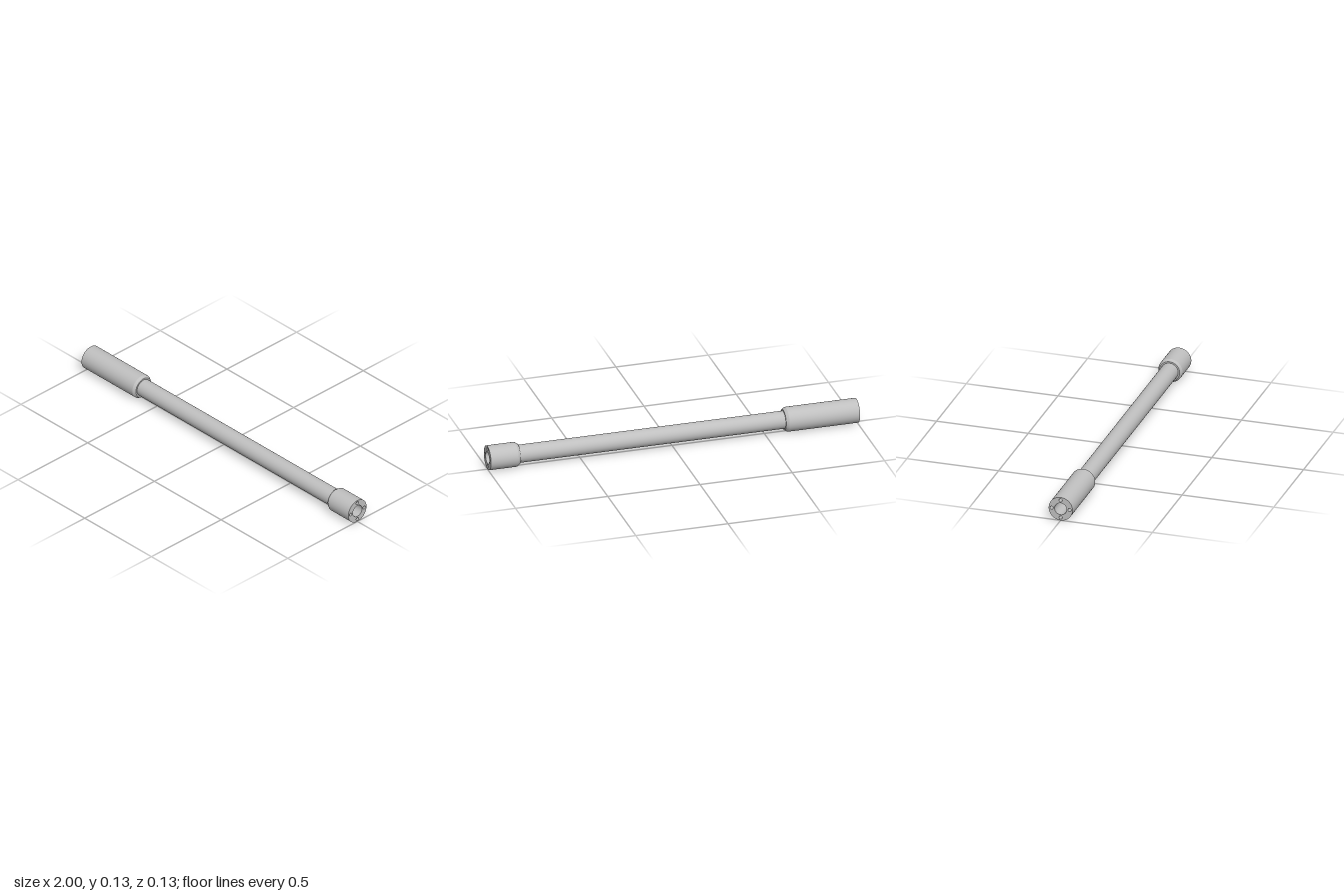
import * as THREE from 'three';

const CENTRE_Y = 0.065, OUTER = 0.065, SHAFT = 0.047, BORE = 0.033;
const HOLE = 0.009, HOLE_RING = 0.049, HOLE_DEPTH = 0.05;

export function createModel() {
  const model = new THREE.Group();
  model.name = 'hollowShaft';
  const steel = new THREE.MeshStandardMaterial({ color: 0xbfbfbf });
  steel.name = 'steel grey';

  const add = (name, geometry, parent = model) => {
    const mesh = new THREE.Mesh(geometry, steel);
    mesh.name = name;
    parent.add(mesh);
  };

  // Surfaces turned about the x axis; each profile segment keeps its edges sharp.
  // Points are [x, radius]; rising x faces outward, falling x faces the axis.
  const turn = (name, points, parent = model, sides = 64) => {
    for (let i = 0; i + 1 < points.length; i++) {
      const pair = [points[i], points[i + 1]].map(([x, r]) => new THREE.Vector2(r, x));
      add(name, new THREE.LatheGeometry(pair, sides).rotateZ(-Math.PI / 2), parent);
    }
  };

  turn('longCollar', [[-1, OUTER], [-0.618, OUTER], [-0.603, 0.055], [-0.603, SHAFT]]);
  turn('shaftTube', [[-0.603, SHAFT], [0.835, SHAFT]]);
  turn('shortCollar', [[0.835, SHAFT], [0.835, 0.055], [0.85, OUTER], [1, OUTER]]);
  turn('bore', [[1, BORE], [-1, BORE]]);

  // Annular end face with four blind drilled holes
  const angles = [0, 1, 2, 3].map((i) => (i * Math.PI) / 2);
  const face = new THREE.Shape().absarc(0, 0, OUTER, 0, Math.PI * 2);
  const cut = (x, y, r) => face.holes.push(new THREE.Path().absarc(x, y, r, 0, Math.PI * 2, true));
  cut(0, 0, BORE);
  angles.forEach((a) => cut(HOLE_RING * Math.cos(a), HOLE_RING * Math.sin(a), HOLE));

  for (const side of [1, -1]) {
    const end = new THREE.Group();
    end.name = side > 0 ? 'shortCollarEnd' : 'longCollarEnd';
    add('endFace', new THREE.ShapeGeometry(face, 32).rotateY(Math.PI / 2), end);
    for (const a of angles) {
      const hole = new THREE.Group();
      hole.name = 'drilledHole';
      // straight wall, then conical drill tip
      turn('holeWall', [[0, HOLE], [-HOLE_DEPTH, HOLE], [-HOLE_DEPTH - 0.005, 0]], hole, 24);
      hole.position.set(0, HOLE_RING * Math.sin(a), HOLE_RING * Math.cos(a));
      end.add(hole);
    }
    end.position.x = side;
    if (side < 0) end.rotation.y = Math.PI;
    model.add(end);
  }

  for (const part of model.children) part.position.y = CENTRE_Y;
  return model;
}
